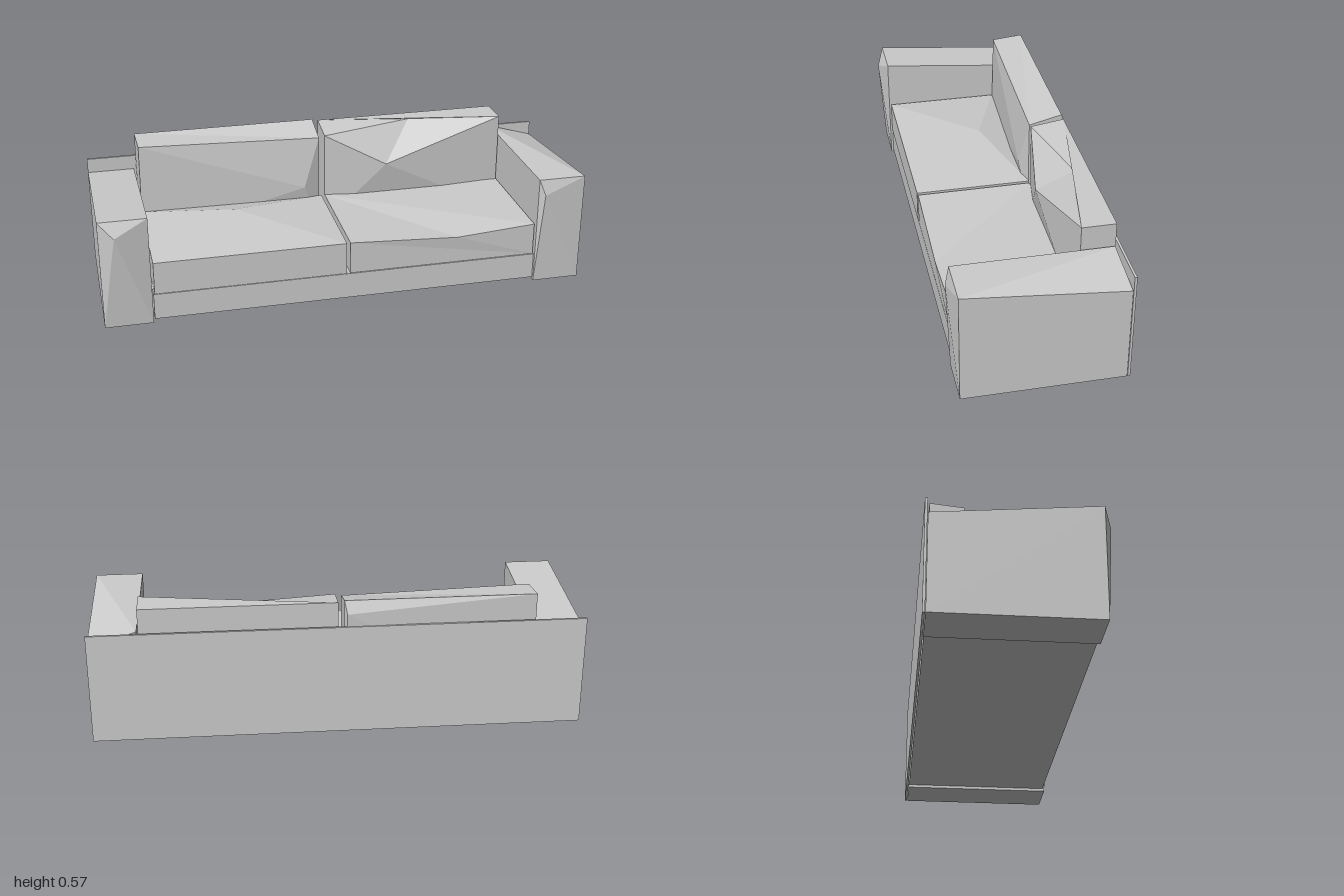
import * as THREE from 'three';

const fabric = new THREE.MeshStandardMaterial({ color: 0xcccccc });
fabric.name = 'light grey fabric';

// Corner numbers: +1 for the high x side, +2 for the top, +4 for the front.
const FACES = {
  front: [5, 7, 6, 4], back: [1, 0, 2, 3], right: [5, 1, 3, 7],
  left: [0, 4, 6, 2], top: [7, 3, 2, 6], bottom: [0, 1, 5, 4],
};

// Faceted block. moved: replaced corners; ridge: extra point on the top front
// edge; peaks: a raised point per face, joined to all of that face's corners.
function block(name, [x0, x1], [y0, y1], [z0, z1], { moved = {}, ridge, peaks = {} } = {}) {
  const points = [];
  for (let i = 0; i < 8; i++) {
    points.push(moved[i] || [i & 1 ? x1 : x0, i & 2 ? y1 : y0, i & 4 ? z1 : z0]);
  }
  const faces = { ...FACES };
  if (ridge) {
    points.push(ridge);
    faces.front = [5, 7, 8, 6, 4];
    faces.top = [2, 6, 8, 7, 3];
  }
  const positions = [];
  for (const [side, loop] of Object.entries(faces)) {
    const ring = loop.map((i) => points[i]);
    if (peaks[side]) {
      ring.forEach((p, i) => positions.push(...peaks[side], ...p, ...ring[(i + 1) % ring.length]));
    } else {
      for (let i = 1; i < ring.length - 1; i++) positions.push(...ring[0], ...ring[i], ...ring[i + 1]);
    }
  }
  const geometry = new THREE.BufferGeometry();
  geometry.setAttribute('position', new THREE.Float32BufferAttribute(positions, 3));
  geometry.computeVertexNormals();
  const mesh = new THREE.Mesh(geometry, fabric);
  mesh.name = name;
  return mesh;
}

export function createModel() {
  const sofa = new THREE.Group();
  sofa.name = 'sofa';
  sofa.add(
    // Frame
    block('backPanel', [-1, 1], [0, 0.462], [-0.342, -0.332]),
    block('base', [-0.8, 0.8], [0.012, 0.122], [-0.328, 0.303]),
    // Arms, sagging at the back and bulging at the front
    block('rightArm', [-1, -0.805], [0, 0.463], [-0.33, 0.312], {
      moved: { 2: [-1, 0.402, -0.33], 3: [-0.805, 0.402, -0.33] },
      peaks: { front: [-0.94, 0.4, 0.342] },
    }),
    block('leftArm', [0.802, 1], [0, 0.465], [-0.33, 0.312], {
      moved: { 2: [0.802, 0.465, -0.316], 3: [1, 0.402, -0.33] },
      peaks: { front: [0.825, 0.4, 0.33] },
    }),
    // Seat cushions
    block('rightSeatCushion', [-0.795, -0.01], [0.125, 0.262], [-0.18, 0.305], {
      peaks: { top: [-0.41, 0.3, -0.04] },
    }),
    block('leftSeatCushion', [0.005, 0.795], [0.125, 0.262], [-0.18, 0.303], {
      ridge: [0.46, 0.24, 0.308],
    }),
    // Back cushions
    block('rightBackCushion', [-0.795, -0.02], [0.125, 0.567], [-0.318, -0.18], {
      moved: { 6: [-0.79, 0.557, -0.185], 7: [-0.02, 0.533, -0.18] },
      peaks: { front: [-0.09, 0.32, -0.15], back: [-0.03, 0.515, -0.34] },
    }),
    block('leftBackCushion', [0.005, 0.795], [0.125, 0.56], [-0.32, -0.185], {
      moved: { 6: [0.005, 0.54, -0.18] },
      ridge: [0.4, 0.553, -0.265],
      peaks: { front: [0.27, 0.4, -0.14] },
    }),
  );
  return sofa;
}
